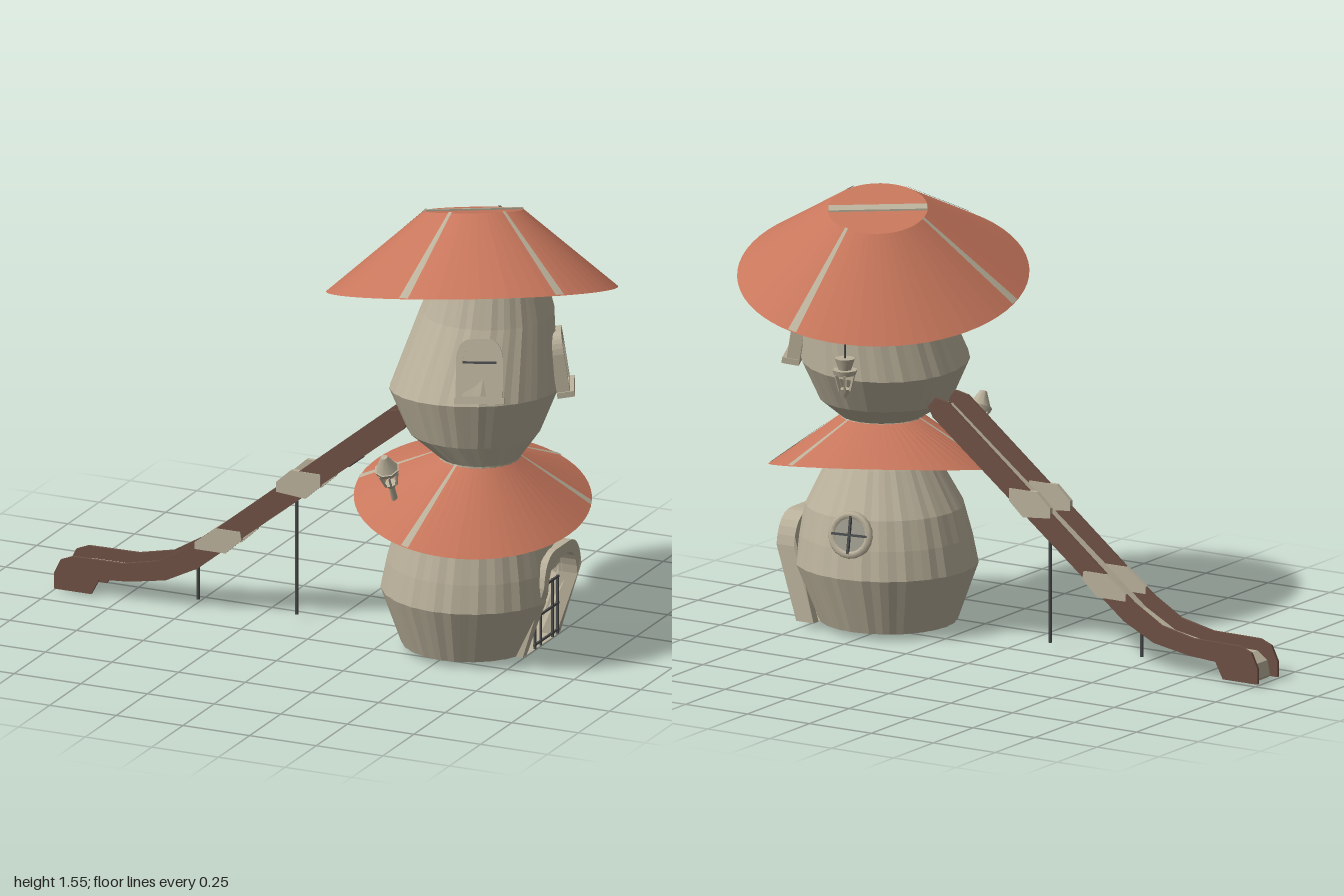
import * as THREE from 'three';

const mat = (name, color, side = THREE.DoubleSide) => {
  const m = new THREE.MeshStandardMaterial({ color, side });
  m.name = name;
  return m;
};

export function createModel() {
  const wood = mat('pale wood', 0xbab19b);
  const red = mat('terracotta shingle', 0xc8775c);
  const lining = mat('grey lining', 0x9f9c90);
  const brown = mat('brown slide wood', 0x6e5145);
  const metal = mat('dark metal', 0x4a4b4c);
  const model = new THREE.Group();

  const add = (name, geo, material, parent = model) => {
    const m = new THREE.Mesh(geo, material);
    m.name = name;
    parent.add(m);
    return m;
  };

  // Rings are [x, y, z, radius, slopeX, slopeZ]
  const point = ([x, y, z, r, sx = 0, sz = 0], a) => {
    const dx = r * Math.cos(a), dz = r * Math.sin(a);
    return [x + dx, y + sx * dx + sz * dz, z + dz];
  };
  const mix = (a, b, t, dy = 0) => a.map((v, i) => v + (b[i] - v) * t + (i === 1 ? dy : 0));

  // Flat-sided skin through a stack of rings; skip(row, angle) leaves openings
  function loft(rings, { a0 = 0, a1 = Math.PI * 2, n = 64, rough = 0, skip = () => false } = {}) {
    const p = [];
    const at = (i, j) => {
      const r = rings[i].slice();
      r[3] *= 1 + rough * Math.sin((j % n) * 2.4);
      return point(r, a0 + (a1 - a0) * j / n);
    };
    for (let i = 0; i < rings.length - 1; i++) for (let j = 0; j < n; j++) {
      if (skip(i, a0 + (a1 - a0) * (j + 0.5) / n)) continue;
      const A = at(i, j), B = at(i + 1, j), C = at(i + 1, j + 1), D = at(i, j + 1);
      p.push(...A, ...B, ...C, ...A, ...C, ...D);
    }
    const g = new THREE.BufferGeometry();
    g.setAttribute('position', new THREE.Float32BufferAttribute(p, 3));
    g.computeVertexNormals();
    return g;
  }

  // Plank towers
  const lower = [
    [0.53, 0.02, 0.075, 0.205], [0.53, 0.02, 0.075, 0.235], [0.54, 0.22, 0.08, 0.312],
    [0.545, 0.32, 0.082, 0.295], [0.55, 0.42, 0.085, 0.27], [0.56, 0.57, 0.09, 0.19], [0.59, 0.715, 0.13, 0.14]];
  const doorAngle = -0.19;
  add('lowerTower', loft(lower, {
    rough: 0.008,
    skip: (i, a) => i > 0 && i < 3 && Math.abs(Math.atan2(Math.sin(a - doorAngle), Math.cos(a - doorAngle))) < 0.4,
  }), wood);
  const upper = [
    [0.59, 0.715, 0.13, 0.14], [0.55, 0.79, 0.09, 0.225], [0.545, 0.935, 0.08, 0.287, 0.04, 0.07],
    [0.57, 1.2, 0.025, 0.228], [0.58, 1.38, 0.015, 0.17, 0.13, 0.24]];
  add('upperTower', loft(upper, { rough: 0.008 }), wood);

  // Slanted conical roofs with lining and pale battens
  function roof(name, rim, top, angles) {
    const inner = mix(rim, top, 0.14, -0.014);
    const tip = top.slice();
    tip[3] = 0.001;
    const g = new THREE.Group();
    g.name = name;
    model.add(g);
    add(name + 'Shingles', loft([inner, rim, top, tip]), red, g);
    add(name + 'Lining', loft([mix(rim, top, 0.97, -0.014), inner]), lining, g);
    for (const d of angles) {
      const a = d * Math.PI / 180;
      add(name + 'Batten', loft([mix(rim, top, 0, 0.004), mix(rim, top, 1, 0.004)],
        { a0: a - 0.035, a1: a + 0.035, n: 2 }), wood, g);
    }
  }
  roof('upperRoof', [0.497, 1.25, -0.008, 0.497, 0.13, 0.235], [0.46, 1.5, -0.1, 0.17, 0.13, 0.24], [-84, 28, 93, 173]);
  roof('lowerRoof', [0.55, 0.545, 0.1, 0.405, -0.1, -0.19], [0.59, 0.715, 0.13, 0.135, 0, 0], [-68, -20, 100, 172]);

  // Batten across the flat roof cap
  const cap = new THREE.BoxGeometry(0.335, 0.006, 0.035).rotateY(0.57);
  const cp = cap.attributes.position;
  for (let i = 0; i < cp.count; i++) cp.setY(i, cp.getY(i) + 0.13 * cp.getX(i) + 0.24 * cp.getZ(i));
  cap.translate(0.46, 1.503, -0.1).computeVertexNormals();
  add('capBatten', cap, wood);

  // Group sitting on a tower wall, local +z facing outward
  function onWall(name, rings, y, deg, tilt) {
    const i = rings.findIndex((r, k) => k > 0 && r[1] <= y && rings[k + 1][1] > y);
    const ring = mix(rings[i], rings[i + 1], (y - rings[i][1]) / (rings[i + 1][1] - rings[i][1])).slice(0, 4);
    const a = deg * Math.PI / 180;
    const g = new THREE.Group();
    g.name = name;
    g.position.set(...point(ring, a));
    g.rotation.order = 'YXZ';
    g.rotation.set(-tilt, Math.atan2(Math.cos(a), Math.sin(a)), 0);
    model.add(g);
    return g;
  }

  // Arched outline, base at y = 0
  function arch(w, h, path = new THREE.Shape()) {
    const s = w / 2;
    path.moveTo(-s, 0);
    path.lineTo(s, 0);
    path.lineTo(s, h * 0.7);
    path.quadraticCurveTo(s * 0.9, h, s * 0.35, h);
    path.lineTo(-s * 0.35, h);
    path.quadraticCurveTo(-s * 0.9, h, -s, h * 0.7);
    path.closePath();
    return path;
  }
  const extrude = (shape, depth) => new THREE.ExtrudeGeometry(shape, { depth, bevelEnabled: false, curveSegments: 6 });

  // Upper windows: frame, pane, sill and crossbar
  for (const [deg, y, tilt] of [[66, 1.07, 0.3], [-25, 1.025, 0.15]]) {
    const g = onWall('window', upper, y, deg, tilt);
    const s = arch(0.16, 0.22);
    const hole = arch(0.115, 0.17, new THREE.Path());
    s.holes.push(new THREE.Path(hole.getPoints(6).map(v => v.add(new THREE.Vector2(0, 0.025)))));
    add('windowFrame', extrude(s, 0.045).translate(0, -0.11, -0.015), wood, g);
    add('windowPane', new THREE.ShapeGeometry(arch(0.12, 0.175)).translate(0, -0.088, 0.008), wood, g);
    add('windowSill', new THREE.BoxGeometry(0.17, 0.02, 0.06).translate(0, -0.1, 0.015), wood, g);
    add('windowBar', new THREE.BoxGeometry(0.115, 0.008, 0.012).translate(0, 0.03, 0.014), metal, g);
  }

  // Round back window
  const round = onWall('roundWindow', lower, 0.37, -98, 0.2);
  add('roundFrame', new THREE.TorusGeometry(0.068, 0.015, 6, 20), wood, round);
  add('roundPane', new THREE.CircleGeometry(0.065, 20).translate(0, 0, 0.007), lining, round);
  for (const r of [0, Math.PI / 2])
    add('roundBar', new THREE.BoxGeometry(0.13, 0.008, 0.01).rotateZ(r).translate(0, 0, 0.012), metal, round);

  // Door arch following the slope of the wall
  const doorShape = arch(0.3, 0.37);
  doorShape.holes.push(arch(0.235, 0.33, new THREE.Path()));
  const door = extrude(doorShape, 0.07).rotateY(Math.PI / 2);
  const dp = door.attributes.position;
  for (let i = 0; i < dp.count; i++) {
    const y = dp.getY(i);
    dp.setX(i, dp.getX(i) + (y < 0.2 ? 0.7 + 0.4 * y : 0.78));
  }
  door.translate(0, 0.02, 0.02).computeVertexNormals();
  add('doorFrame', door, wood);

  // Gate bars in the doorway
  for (const z of [0.135, 0.09, -0.005, -0.045])
    add('gateUpright', new THREE.BoxGeometry(0.007, 0.21, 0.007).translate(0.8, 0.15, z), metal);
  for (const y of [0.06, 0.155, 0.25])
    add('gateRail', new THREE.BoxGeometry(0.007, 0.007, 0.2).translate(0.8, y, 0.045), metal);

  // Slide side boards
  const shapeOf = pts => new THREE.Shape(pts.map(p => new THREE.Vector2(...p)));
  const side = shapeOf([
    [0.3, 0.835], [0.25, 0.825], [-0.39, 0.31], [-0.5, 0.225], [-0.61, 0.16], [-0.74, 0.132], [-0.93, 0.13],
    [-0.975, 0.112], [-1, 0.06], [-1, 0.005], [-0.86, 0.005], [-0.83, 0.062], [-0.72, 0.07],
    [-0.58, 0.095], [-0.46, 0.155], [-0.36, 0.235], [0.31, 0.765], [0.33, 0.8]]);
  const patches = [
    [[-0.165, 0.475], [-0.055, 0.465], [0, 0.515], [0, 0.56], [-0.11, 0.56], [-0.165, 0.51]],
    [[-0.47, 0.225], [-0.355, 0.225], [-0.295, 0.28], [-0.3, 0.31], [-0.39, 0.31], [-0.47, 0.25]]];
  for (const z of [0.012, 0.138]) {
    add('slideSide', extrude(side, 0.01).translate(0, 0, z), brown);
    for (const p of patches) add('slidePatch', extrude(shapeOf(p), 0.016).translate(0, 0, z - 0.003), wood);
  }

  // Slide bed
  const bed = [[0.31, 0.79], [-0.37, 0.26], [-0.47, 0.18], [-0.59, 0.115], [-0.73, 0.09], [-0.92, 0.088], [-0.96, 0.06], [-0.97, 0.01]];
  const under = bed.map(([x, y]) => [x + 0.008, y - 0.01]).reverse();
  add('slideBed', extrude(shapeOf([...bed, ...under]), 0.12).translate(0, 0, 0.02), wood);
  for (const [x, y] of [[0.1, 0.607], [-0.12, 0.44], [-0.37, 0.242], [-0.5, 0.15], [-0.7, 0.082]])
    add('slideRib', new THREE.BoxGeometry(0.014, 0.014, 0.12).translate(x, y, 0.08), metal);

  // Slide posts
  for (const [x, h] of [[-0.12, 0.45], [-0.49, 0.15]])
    add('slidePost', new THREE.CylinderGeometry(0.006, 0.006, h - 0.02, 8).translate(x, h / 2 + 0.01, 0.08), metal);

  // Lanterns: base, caged bars and roof, centred on the local origin
  function lantern(name, x, y, z) {
    const g = new THREE.Group();
    g.name = name;
    g.position.set(x, y, z);
    model.add(g);
    add('lanternBase', new THREE.CylinderGeometry(0.022, 0.012, 0.02, 8).translate(0, -0.06, 0), wood, g);
    add('lanternCollar', new THREE.CylinderGeometry(0.044, 0.038, 0.018, 8).translate(0, 0.008, 0), wood, g);
    for (let i = 0; i < 6; i++) {
      const bar = add('lanternBar', new THREE.BoxGeometry(0.007, 0.06, 0.007), wood, g);
      const a = i * Math.PI / 3;
      bar.position.set(0.028 * Math.cos(a), -0.027, 0.028 * Math.sin(a));
      bar.rotation.set(0, -a, -0.25);
    }
    return g;
  }
  const hanging = lantern('hangingLantern', 0.38, 1.0, -0.432);
  add('lanternCap', new THREE.CylinderGeometry(0.036, 0.022, 0.04, 8).translate(0, 0.037, 0), wood, hanging);
  add('lanternCord', new THREE.CylinderGeometry(0.003, 0.003, 0.11, 6).translate(0, 0.11, 0), metal, hanging);
  add('lanternTip', new THREE.ConeGeometry(0.012, 0.02, 8).rotateX(Math.PI).translate(0, -0.078, 0), wood, hanging);
  const standing = lantern('standingLantern', 0.37, 0.7, 0.397);
  standing.rotation.x = 0.45;
  add('lanternCap', new THREE.CylinderGeometry(0.012, 0.04, 0.055, 8).translate(0, 0.042, 0), wood, standing);
  add('lanternStem', new THREE.CylinderGeometry(0.01, 0.012, 0.08, 8).translate(0, -0.1, 0), wood, standing);
  return model;
}
